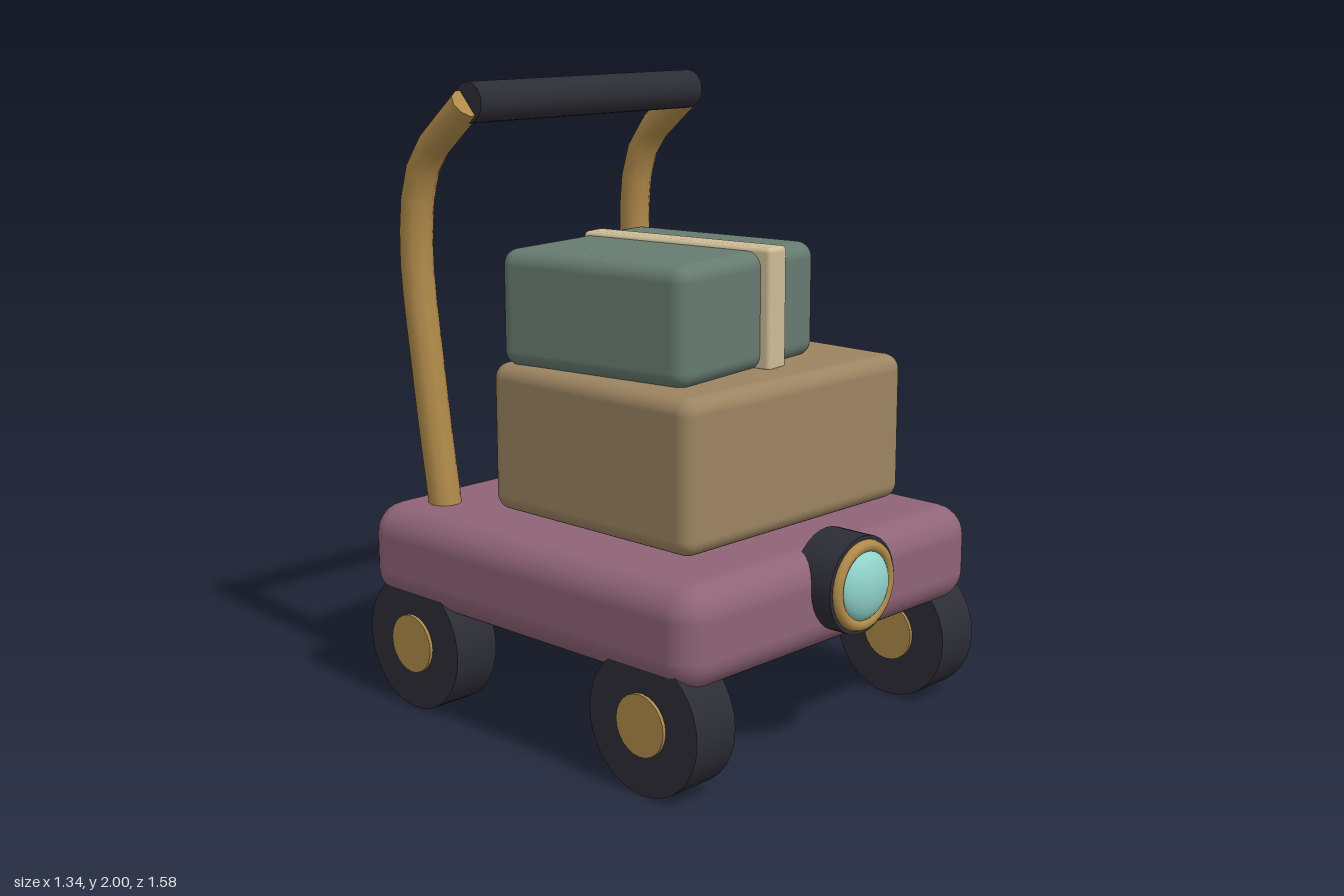
import * as THREE from 'three';
import { RoundedBoxGeometry } from 'three/addons/geometries/RoundedBoxGeometry.js';

const paint = (name, color) => {
  const m = new THREE.MeshStandardMaterial({ color });
  m.name = name;
  return m;
};

export function createModel() {
  const mauve = paint('mauve', 0x8f6477);
  const tan = paint('tan', 0x9c8461);
  const sage = paint('sage', 0x667b70);
  const cream = paint('cream', 0xcdbc97);
  const brass = paint('brass', 0xb08a4a);
  const charcoal = paint('charcoal', 0x2d2d36);
  const aqua = paint('aqua', 0x90d4cb);

  const cart = new THREE.Group();
  cart.name = 'luggageCart';

  const add = (parent, name, geometry, material, x = 0, y = 0, z = 0) => {
    const mesh = new THREE.Mesh(geometry, material);
    mesh.name = name;
    mesh.position.set(x, y, z);
    parent.add(mesh);
    return mesh;
  };
  const rounded = (w, h, d, r) => new RoundedBoxGeometry(w, h, d, 4, r);

  // Deck
  add(cart, 'deck', rounded(1.34, 0.315, 1.45, 0.1), mauve, 0, 0.4925, -0.06);

  // Wheels with hubs showing on both faces
  const tyre = new THREE.CylinderGeometry(0.217, 0.217, 0.16, 32).rotateZ(Math.PI / 2);
  const hub = new THREE.CylinderGeometry(0.095, 0.095, 0.182, 24).rotateZ(Math.PI / 2);
  for (const side of [-1, 1]) {
    for (const [end, z] of [['front', 0.46], ['back', -0.57]]) {
      const wheel = new THREE.Group();
      wheel.name = end + (side > 0 ? 'Left' : 'Right') + 'Wheel';
      wheel.position.set(side * 0.576, 0.217, z);
      add(wheel, 'tyre', tyre, charcoal);
      add(wheel, 'hub', hub, brass);
      cart.add(wheel);
    }
  }

  // Bent handle posts, capped at the top
  for (const side of [-1, 1]) {
    const path = new THREE.CatmullRomCurve3([
      [0.6, -0.585], [1.05, -0.655], [1.5, -0.702], [1.74, -0.65], [1.935, -0.44],
    ].map(([y, z]) => new THREE.Vector3(side * 0.492, y, z)));
    const name = side > 0 ? 'leftPost' : 'rightPost';
    add(cart, name, new THREE.TubeGeometry(path, 14, 0.053, 10), brass);
    const tip = path.getPoint(1);
    const cap = add(cart, name + 'Cap', new THREE.CircleGeometry(0.053, 10), brass, tip.x, tip.y, tip.z);
    cap.lookAt(tip.clone().add(path.getTangent(1)));
  }

  // Grip bar
  add(cart, 'gripBar', new THREE.CylinderGeometry(0.064, 0.064, 0.98, 16).rotateZ(Math.PI / 2),
    charcoal, 0, 1.937, -0.44);

  // Large lower case
  add(cart, 'lowerCase', rounded(1, 0.47, 0.85, 0.05), tan, 0, 0.91, 0.07);

  // Small upper case, turned slightly, with its strap
  const upper = new THREE.Group();
  upper.name = 'upperCaseWithStrap';
  upper.position.set(-0.088, 1.32, -0.016);
  upper.rotation.y = 0.14;
  add(upper, 'upperCase', rounded(0.72, 0.365, 0.7, 0.05), sage);
  add(upper, 'strap', rounded(0.095, 0.38, 0.715, 0.015), cream, 0.084, 0.006, 0.028);
  cart.add(upper);

  // Headlamp
  const lamp = new THREE.Group();
  lamp.name = 'headlamp';
  lamp.position.set(0, 0.545, 0);
  add(lamp, 'lampHousing', new THREE.CylinderGeometry(0.152, 0.152, 0.14, 32).rotateX(Math.PI / 2),
    charcoal, 0, 0, 0.665);
  add(lamp, 'lampRim', new THREE.TorusGeometry(0.121, 0.019, 10, 36), brass, 0, 0, 0.737);
  add(lamp, 'lampLens', new THREE.SphereGeometry(0.11, 28, 18).scale(1, 1, 0.5), aqua, 0, 0, 0.733);
  cart.add(lamp);

  return cart;
}
